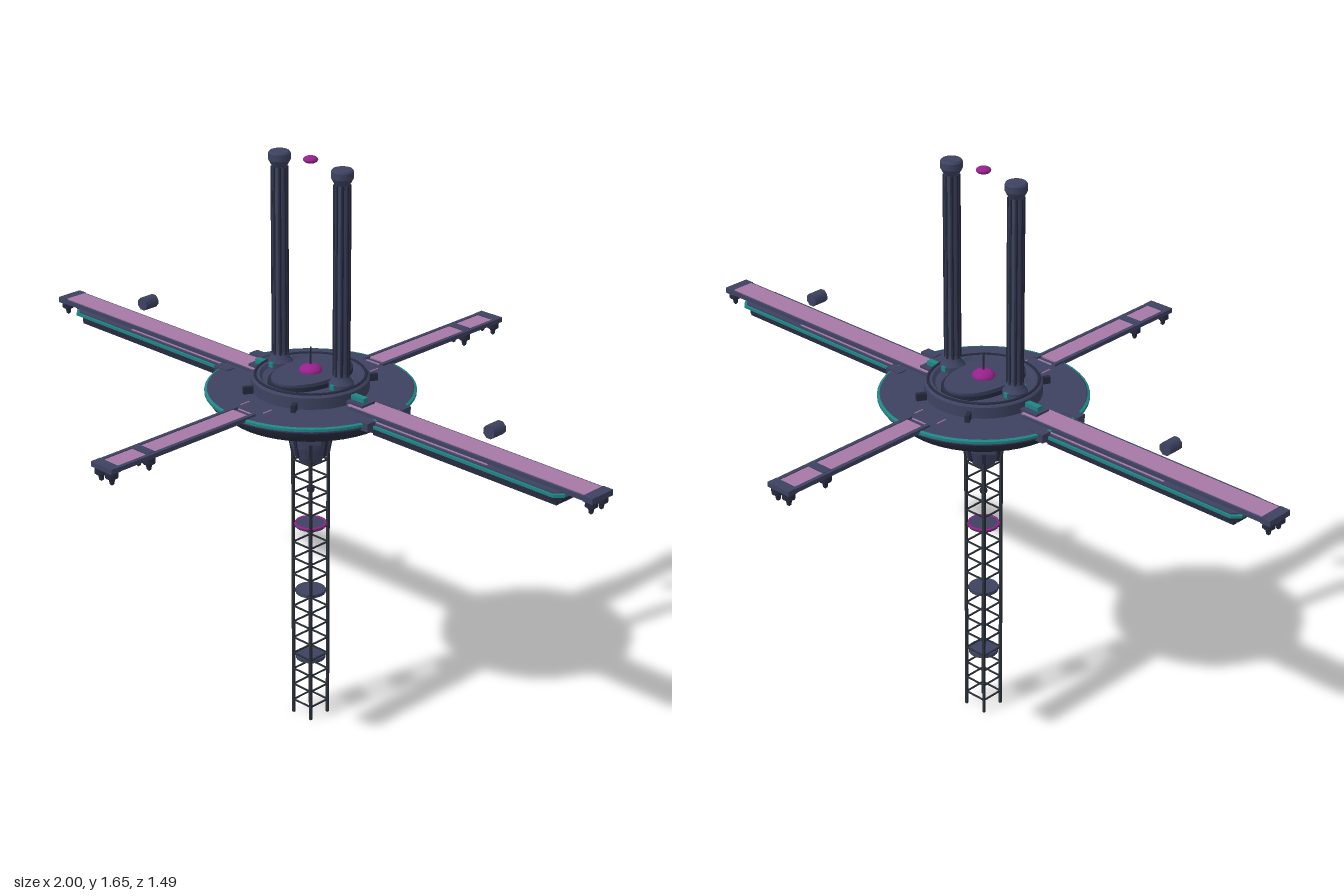
import * as THREE from 'three';

const mat = (name, color) => {
  const m = new THREE.MeshStandardMaterial({ color, side: THREE.DoubleSide });
  m.name = name;
  return m;
};

export function createModel() {
  const hull = mat('slate hull', 0x3d4260);
  const dark = mat('dark hull', 0x262a3e);
  const steel = mat('truss steel', 0x2a3038);
  const pink = mat('mauve deck', 0xa678a6);
  const teal = mat('teal trim', 0x1f8484);
  const magenta = mat('magenta glow', 0x96218c);

  const root = new THREE.Group();
  root.name = 'station';

  const add = (parent, name, geo, m, x = 0, y = 0, z = 0) => {
    const mesh = new THREE.Mesh(geo, m);
    mesh.name = name;
    mesh.position.set(x, y, z);
    parent.add(mesh);
    return mesh;
  };
  const box = (p, name, m, w, h, d, x, y, z) => add(p, name, new THREE.BoxGeometry(w, h, d), m, x, y, z);
  const cyl = (p, name, m, rt, rb, h, x, y, z, n = 16) =>
    add(p, name, new THREE.CylinderGeometry(rt, rb, h, n), m, x, y, z);
  // Lathe with hard edges: each profile segment is its own band
  const turned = (p, name, m, pts, n, x = 0, y = 0, z = 0) => {
    const g = new THREE.Group();
    g.name = name;
    g.position.set(x, y, z);
    for (let i = 0; i < pts.length - 1; i++) {
      add(g, name + 'Band', new THREE.LatheGeometry(
        [new THREE.Vector2(...pts[i]), new THREE.Vector2(...pts[i + 1])], n), m);
    }
    p.add(g);
    return g;
  };
  const group = (name, ry = 0) => {
    const g = new THREE.Group();
    g.name = name;
    g.rotation.y = ry;
    root.add(g);
    return g;
  };

  // Central disc with a stepped underside
  turned(root, 'disc', hull, [[0.278, 0.985], [0.283, 0.99], [0.283, 1.0], [0.278, 1.004], [0, 1.004]], 48);
  turned(root, 'discUnderside', dark, [
    [0.05, 0.925], [0.12, 0.932], [0.135, 0.945], [0.235, 0.945], [0.245, 0.96],
    [0.255, 0.962], [0.262, 0.975], [0.275, 0.978], [0.278, 0.985]], 48);
  turned(root, 'discRim', teal, [[0.281, 0.993], [0.287, 0.995], [0.287, 1.002], [0.28, 1.005]], 48);

  // Command ring and oval platform
  turned(root, 'ringWall', hull, [
    [0.16, 1.004], [0.16, 1.036], [0.152, 1.043], [0.138, 1.043], [0.13, 1.034], [0, 1.034]], 40);
  const ringLine = add(root, 'ringRail', new THREE.TorusGeometry(0.15, 0.004, 6, 40), dark, 0, 1.043, 0);
  ringLine.rotation.x = Math.PI / 2;
  const ellipse = (rx, rz) => new THREE.Shape().absellipse(0, 0, rx, rz, 0, Math.PI * 2, false, 0);
  const slab = (name, m, rx, rz, h, y) => {
    const g = new THREE.ExtrudeGeometry(ellipse(rx, rz), { depth: h, bevelEnabled: false, curveSegments: 24 });
    g.rotateX(-Math.PI / 2);
    add(root, name, g, m, 0, y, 0);
  };
  slab('ovalBase', dark, 0.088, 0.137, 0.012, 1.034);
  slab('ovalPlatform', hull, 0.08, 0.128, 0.018, 1.034);
  for (let i = 0; i < 4; i++) {
    const a = (i < 2 ? 1 : -1) * (i % 2 ? Math.PI / 3 : Math.PI * 2 / 3);
    const clamp = box(root, 'ringClamp', dark, 0.035, 0.02, 0.012, Math.cos(a) * 0.17, 1.014, Math.sin(a) * 0.17);
    clamp.rotation.y = -a;
  }

  // Beacon, antenna and floating light
  const dome = add(root, 'beaconDome', new THREE.SphereGeometry(0.032, 20, 10), magenta, 0, 1.052, 0);
  dome.scale.y = 0.6;
  cyl(root, 'antenna', dark, 0.002, 0.003, 0.06, 0, 1.09, 0, 6);
  const orb = add(root, 'floatingLight', new THREE.SphereGeometry(0.02, 16, 10), magenta, 0, 1.642, 0);
  orb.scale.y = 0.5;

  // Twin towers
  for (const s of [1, -1]) {
    turned(root, 'tower', hull, [
      [0.034, 1.03], [0.034, 1.05], [0.027, 1.06], [0.022, 1.07], [0.02, 1.08], [0.02, 1.6],
      [0.023, 1.605], [0.03, 1.618], [0.03, 1.636], [0.026, 1.641], [0, 1.641]], 16, s * 0.115);
    for (let i = 0; i < 8; i++) {
      const a = i * Math.PI / 4;
      box(root, 'towerRib', dark, 0.006, 0.53, 0.006,
        s * 0.115 + Math.cos(a) * 0.0195, 1.335, Math.sin(a) * 0.0195);
    }
    // Docking fittings at the tower foot
    box(root, 'footFitting', teal, 0.05, 0.012, 0.018, s * 0.18, 1.024, 0);
    box(root, 'footBlock', hull, 0.06, 0.016, 0.05, s * 0.185, 1.01, 0);
    for (const z of [1, -1]) box(root, 'footClip', teal, 0.014, 0.014, 0.01, s * 0.115, 1.045, z * 0.033);
  }

  // Small hanging thruster pod
  const pod = (p, x, z) => turned(p, 'pod', dark, [
    [0, 0.957], [0.006, 0.962], [0.008, 0.974], [0.017, 0.98], [0.017, 1.001]], 10, x, 0, z);

  // Long side arms
  for (const ry of [0, Math.PI]) {
    const arm = group('longArm', ry);
    box(arm, 'armDeck', hull, 0.82, 0.012, 0.08, 0.59, 1.003, 0);
    box(arm, 'armRunway', pink, 0.8, 0.004, 0.066, 0.57, 1.0095, 0);
    box(arm, 'armEnd', hull, 0.03, 0.016, 0.08, 0.985, 1.003, 0);
    // Tapered side ledges with trim
    const ledge = (w, x1, tip) => new THREE.Shape([[0.2, -w], [x1 - tip, -w], [x1, -w + tip], [x1, w - tip],
      [x1 - tip, w], [0.2, w]].map(q => new THREE.Vector2(...q)));
    const plate = (name, m, w, x1, tip, h, y) => {
      const g = new THREE.ExtrudeGeometry(ledge(w, x1, tip), { depth: h, bevelEnabled: false });
      g.rotateX(-Math.PI / 2);
      add(arm, name, g, m, 0, y, 0);
    };
    plate('ledgeTrim', teal, 0.062, 0.915, 0.02, 0.008, 0.987);
    plate('ledge', hull, 0.056, 0.91, 0.02, 0.014, 0.985);
    plate('keel', dark, 0.052, 0.9, 0.02, 0.018, 0.969);
    box(arm, 'keelBeam', dark, 0.82, 0.014, 0.05, 0.48, 0.965, 0);
    for (const z of [1, -1]) {
      box(arm, 'ledgeStripe', pink, 0.4, 0.003, 0.004, 0.47, 1.0, z * 0.047);
      box(arm, 'rootBracket', hull, 0.05, 0.024, 0.03, 0.265, 0.995, z * 0.068);
      box(arm, 'keelRail', dark, 0.62, 0.012, 0.012, 0.58, 0.964, z * 0.035);
      pod(arm, 0.982, z * 0.02);
    }
    // Hovering drum
    const drum = cyl(arm, 'hoverDrum', hull, 0.019, 0.019, 0.046, 0.65, 1.076, 0, 8);
    drum.rotation.set(Math.PI / 2, Math.PI / 8, 0);
  }

  // Short front and back arms
  for (const ry of [0, Math.PI]) {
    const arm = group('shortArm', ry);
    for (const x of [1, -1]) {
      box(arm, 'armRail', hull, 0.011, 0.012, 0.5, x * 0.0335, 1.004, 0.495);
      box(arm, 'deckMark', pink, 0.003, 0.003, 0.03, x * 0.042, 1.005, 0.205);
      pod(arm, x * 0.02, 0.73);
      pod(arm, x * 0.02, 0.605);
    }
    box(arm, 'armRunway', pink, 0.058, 0.008, 0.455, 0, 1.004, 0.49);
    box(arm, 'crossBand', hull, 0.058, 0.014, 0.026, 0, 1.004, 0.605);
    box(arm, 'armEnd', hull, 0.078, 0.014, 0.03, 0, 1.004, 0.732);
    box(arm, 'deckLine', pink, 0.05, 0.003, 0.004, 0, 1.005, 0.245);
  }

  // Diagonal braces under the disc
  for (let i = 0; i < 4; i++) {
    const g = group('underBrace', Math.PI / 4 + i * Math.PI / 2);
    box(g, 'braceBeam', hull, 0.14, 0.018, 0.03, 0.15, 0.942, 0);
    box(g, 'braceFoot', hull, 0.03, 0.024, 0.05, 0.215, 0.945, 0);
  }

  // Lower pod
  turned(root, 'lowerPod', hull, [
    [0.03, 0.785], [0.036, 0.8], [0.046, 0.806], [0.056, 0.84], [0.06, 0.88], [0.064, 0.885],
    [0.064, 0.9], [0.05, 0.912], [0.05, 0.93]], 16);
  cyl(root, 'lowerPodFloor', dark, 0.032, 0.03, 0.006, 0, 0.787, 0);
  for (let i = 0; i < 8; i++) {
    const g = group('lowerPodFin', i * Math.PI / 4);
    const fin = box(g, 'fin', dark, 0.008, 0.07, 0.01, 0.055, 0.846, 0);
    fin.rotation.z = -0.18;
  }

  // Square ladder truss
  const truss = group('truss');
  const R = 0.034;
  for (const x of [1, -1]) for (const z of [1, -1])
    box(truss, 'post', steel, 0.007, 0.81, 0.007, x * R, 0.405, z * R);
  for (let i = 0; i < 16; i++) {
    const y = 0.04 + i * 0.05;
    for (const s of [1, -1]) {
      box(truss, 'rung', steel, 2 * R, 0.004, 0.004, 0, y, s * R);
      box(truss, 'rung', steel, 0.004, 0.004, 2 * R, s * R, y, 0);
    }
  }
  for (const y of [0.183, 0.389, 0.594]) cyl(truss, 'collar', hull, 0.042, 0.042, 0.01, 0, y, 0, 20);
  const glow = add(truss, 'glowRing', new THREE.TorusGeometry(0.042, 0.004, 6, 24), magenta, 0, 0.597, 0);
  glow.rotation.x = Math.PI / 2;
  cyl(truss, 'centreRod', steel, 0.003, 0.003, 0.11, 0, 0.745, 0, 6);
  add(truss, 'plumbBall', new THREE.SphereGeometry(0.011, 12, 8), dark, 0, 0.7, 0);

  return root;
}
